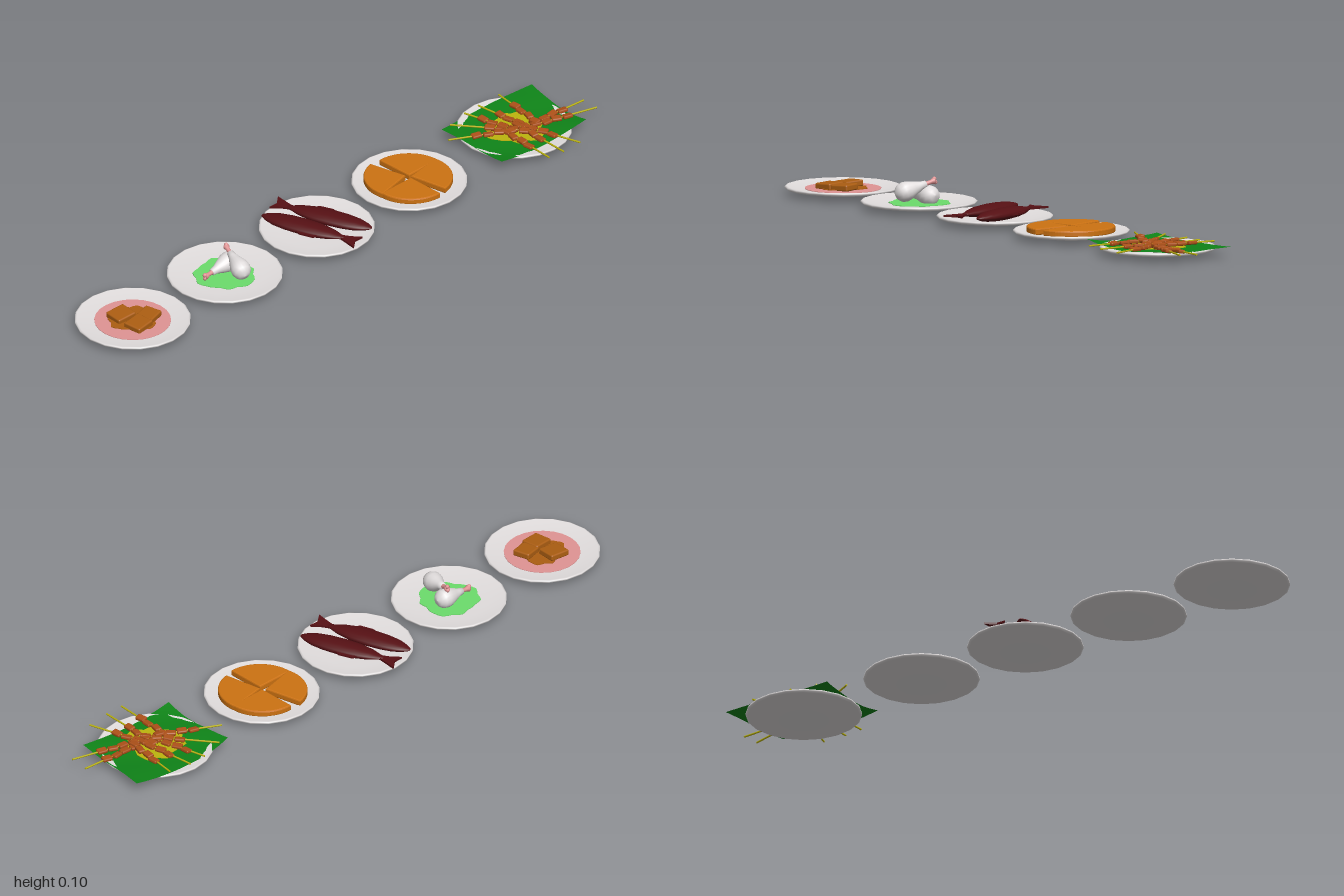
import * as THREE from 'three';
import { RoundedBoxGeometry } from 'three/addons/geometries/RoundedBoxGeometry.js';

const mat = (name, color, extra = {}) => {
  const m = new THREE.MeshStandardMaterial({ color, ...extra });
  m.name = name;
  return m;
};

export function createModel() {
  const white = mat('white', 0xe2dede);
  const pink = mat('pink', 0xe09494);
  const lightGreen = mat('light green', 0x6cdc6c);
  const darkRed = mat('dark red', 0x561014);
  const orange = mat('orange', 0xcc7212);
  const brown = mat('fried brown', 0xac5e12);
  const green = mat('leaf green', 0x0f8418, { side: THREE.DoubleSide });
  const yellow = mat('yellow', 0xbcb40e);
  const meat = mat('grilled meat', 0xac5018);

  const model = new THREE.Group();
  model.name = 'platesOfFood';

  const add = (parent, name, geometry, material, x = 0, y = 0, z = 0) => {
    const mesh = new THREE.Mesh(geometry, material);
    mesh.name = name;
    mesh.position.set(x, y, z);
    parent.add(mesh);
    return mesh;
  };
  const profile = (pts) => pts.map(([r, y]) => new THREE.Vector2(r, y));

  // Lathe body lying along +x, tail end first
  const lengthwise = (pts, segments = 14) =>
    new THREE.LatheGeometry(profile(pts), segments).rotateZ(-Math.PI / 2);

  // Flat irregular patch: radius varies with angle
  const patch = (radius, wobble, n = 40) => {
    const shape = new THREE.Shape();
    for (let i = 0; i < n; i++) {
      const a = (i / n) * Math.PI * 2;
      const r = radius * (1 + wobble * (Math.sin(3 * a + 1) + 0.6 * Math.sin(7 * a) + 0.5 * Math.sin(11 * a + 2)));
      shape[i ? 'lineTo' : 'moveTo'](Math.cos(a) * r, Math.sin(a) * r);
    }
    return new THREE.ExtrudeGeometry(shape, { depth: 0.002, bevelEnabled: false }).rotateX(-Math.PI / 2);
  };

  // Plates in a row, each a group that carries its food
  const plateGeo = new THREE.LatheGeometry(profile([
    [0, 0], [0.065, 0], [0.168, 0.016], [0.174, 0.02], [0.174, 0.025],
    [0.169, 0.027], [0.118, 0.018], [0, 0.017],
  ]), 20);
  const [tofu, chicken, fish, cake, satay] = [0.825, 0.445, 0.065, -0.317, -0.75].map((z, i) => {
    const g = new THREE.Group();
    g.name = ['friedCubePlate', 'drumstickPlate', 'fishPlate', 'wedgePlate', 'skewerPlate'][i];
    g.position.set(-0.022, 0, z);
    model.add(g);
    add(g, 'plate', plateGeo, white);
    return g;
  });

  // Fried cubes on a pink round
  add(tofu, 'pinkRound', new THREE.CylinderGeometry(0.115, 0.115, 0.002, 24), pink, 0, 0.0185, 0);
  add(tofu, 'crumbs', patch(0.068, 0.09), brown, 0, 0.02, 0);
  [[0.025, -0.042, 0.25, 0.056], [-0.034, 0.016, -0.05, 0.062], [0.04, 0.014, 0.12, 0.06]].forEach(([x, z, turn, s]) => {
    const cube = add(tofu, 'friedCube', new RoundedBoxGeometry(s, 0.02, s * 1.08, 2, 0.005), brown, x, 0.028, z);
    cube.rotation.set(0.06, turn, -0.04);
  });

  // Drumsticks on a green patch
  add(chicken, 'greenPatch', patch(0.09, 0.06), lightGreen, 0, 0.0182, 0);
  const meatGeo = lengthwise([
    [0, 0.032], [0.011, 0.034], [0.014, 0.052], [0.023, 0.075], [0.031, 0.096],
    [0.033, 0.112], [0.029, 0.128], [0.018, 0.14], [0, 0.145],
  ], 18);
  const boneGeo = lengthwise([
    [0, 0.004], [0.008, 0], [0.011, 0.005], [0.007, 0.016], [0.007, 0.03], [0.01, 0.042], [0, 0.046],
  ], 12);
  const knobGeo = new THREE.SphereGeometry(0.007, 10, 8);
  const drumstick = (x, y, z, yaw, pitch, size) => {
    const g = new THREE.Group();
    g.name = 'drumstick';
    add(g, 'drumstickMeat', meatGeo, white);
    add(g, 'bone', boneGeo, pink);
    for (const s of [-1, 1]) add(g, 'boneKnob', knobGeo, pink, 0.002, s * 0.006, 0);
    g.rotation.set(0, yaw, pitch);
    g.position.set(x, y, z);
    g.scale.setScalar(size);
    chicken.add(g);
  };
  drumstick(-0.034, 0.087, -0.036, -0.28, -0.3, 0.92);
  drumstick(-0.012, 0.032, 0.072, 1.6, 0.1, 0.93);

  // Two fish lying head to tail
  const fishGeo = lengthwise([
    [0, -0.13], [0.009, -0.128], [0.012, -0.115], [0.024, -0.085], [0.034, -0.04], [0.037, 0.01],
    [0.035, 0.06], [0.029, 0.1], [0.018, 0.13], [0.007, 0.147], [0, 0.15],
  ], 16).scale(1, 0.48, 1);
  const tailShape = new THREE.Shape(profile([
    [-0.118, 0.008], [-0.145, 0.02], [-0.18, 0.036], [-0.166, 0], [-0.176, -0.028], [-0.145, -0.014], [-0.118, -0.008],
  ]));
  const tailGeo = new THREE.ExtrudeGeometry(tailShape, { depth: 0.006, bevelEnabled: false }).rotateX(-Math.PI / 2);
  const finShape = new THREE.Shape(profile([[-0.06, 0.02], [-0.045, 0.042], [0.0, 0.044], [0.03, 0.03]]));
  const finGeo = new THREE.ExtrudeGeometry(finShape, { depth: 0.005, bevelEnabled: false }).rotateX(-Math.PI / 2);
  [[-0.005, -0.046, 0.35], [-0.004, 0.04, Math.PI + 0.32]].forEach(([x, z, yaw]) => {
    const g = new THREE.Group();
    g.name = 'fish';
    add(g, 'fishBody', fishGeo, darkRed);
    add(g, 'fishTail', tailGeo, darkRed, 0, -0.003, 0);
    add(g, 'fishFin', finGeo, darkRed, 0, -0.002, 0);
    g.position.set(x, 0.035, z);
    g.rotation.y = yaw;
    fish.add(g);
  });

  // Round cut into four quarters, each pushed out and turned a little
  const R = 0.116;
  const quarter = new THREE.Shape();
  quarter.moveTo(0, 0);
  quarter.lineTo(R, 0);
  quarter.absarc(0, 0, R, 0, Math.PI / 2, false);
  quarter.lineTo(0, 0);
  const quarterGeo = new THREE.ExtrudeGeometry(quarter, {
    depth: 0.012, bevelThickness: 0.004, bevelSize: 0.004, bevelSegments: 2, curveSegments: 10,
  }).rotateX(-Math.PI / 2);
  [[0.006, -0.009, 0.2], [-0.009, -0.007, Math.PI / 2 + 0.03],
    [-0.014, 0.01, Math.PI + 0.24], [0.013, 0.006, Math.PI * 1.5 + 0.02]].forEach(([x, z, yaw]) => {
    add(cake, 'quarterPiece', quarterGeo, orange, x, 0.022, z).rotation.y = yaw;
  });

  // Leaf: a sheet with bowed edges and lifted corners
  const leafGeo = new THREE.PlaneGeometry(0.26, 0.36, 12, 16).rotateX(-Math.PI / 2);
  const p = leafGeo.attributes.position;
  for (let i = 0; i < p.count; i++) {
    const u = p.getX(i) / 0.13, v = p.getZ(i) / 0.18;
    p.setXYZ(i,
      u * 0.13 - (u < 0 ? u * 0.018 * (v * v - 1) : 0),
      0.023 + 0.009 * u * u * v * v + 0.004 * v * v + 0.002 * Math.sin(4 * u + 3 * v),
      v * 0.18 + 0.012 * u * (v < 0 ? 1 : 0) - 0.008 * v * (1 - u * u));
  }
  leafGeo.computeVertexNormals();
  add(satay, 'leaf', leafGeo, green, 0.002, 0, -0.003);
  add(satay, 'yellowSauce', patch(0.085, 0.1), yellow, 0.008, 0.0255, 0.005);

  // Skewers: outer tip x, z, then inner end x, z
  const stickGeo = new THREE.CylinderGeometry(0.0028, 0.0028, 1, 6).rotateZ(-Math.PI / 2);
  const chunkGeo = new RoundedBoxGeometry(0.032, 0.011, 0.022, 1, 0.004);
  const skewers = [
    [0.207, -0.075, 0.0, -0.012], [0.214, 0.0, -0.01, -0.004], [0.212, 0.058, 0.0, 0.05],
    [0.04, -0.248, 0.028, -0.04], [0.1, -0.245, 0.04, -0.03],
    [-0.15, -0.08, 0.05, -0.055], [-0.155, 0.0, 0.05, -0.025], [-0.13, 0.14, 0.06, -0.01],
    [-0.068, 0.207, 0.03, 0.02], [-0.152, 0.06, 0.03, 0.015],
  ];
  skewers.forEach(([tx, tz, ix, iz], k) => {
    const dx = tx - ix, dz = tz - iz, length = Math.hypot(dx, dz);
    const g = new THREE.Group();
    g.name = 'skewer';
    add(g, 'stick', stickGeo, yellow, length / 2).scale.x = length;
    for (let i = 0; i < 4; i++) {
      const chunk = add(g, 'meatChunk', chunkGeo, meat, 0.018 + i * 0.035, 0, i % 2 ? 0.002 : -0.002);
      chunk.rotation.set(0.15 * (i % 3 - 1), 0.2 * ((i + k) % 3 - 1), 0);
    }
    g.position.set(ix, 0.031 + (k % 3) * 0.003, iz);
    g.rotation.y = Math.atan2(-dz, dx);
    satay.add(g);
  });

  return model;
}
